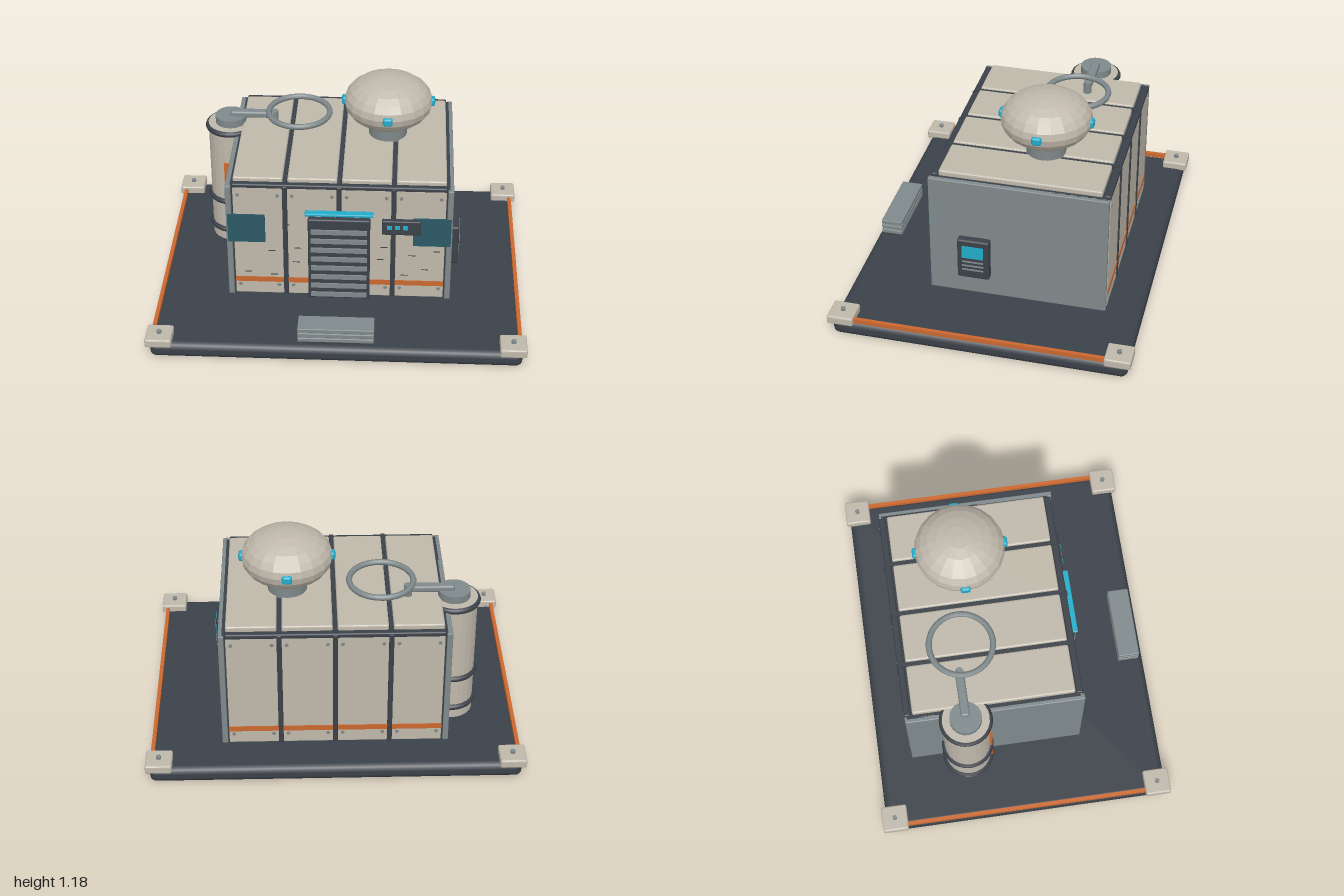
import * as THREE from 'three';
import { RoundedBoxGeometry } from 'three/addons/geometries/RoundedBoxGeometry.js';

export function createModel() {
  const root = new THREE.Group();
  root.name = 'fieldShelter';

  const material = (name, color, flat = false) => {
    const m = new THREE.MeshStandardMaterial({ color, flatShading: flat });
    m.name = name;
    return m;
  };
  const beige = material('beige panel', 0xbfb8ab, true);
  const dark = material('dark frame', 0x3b4149);
  const steel = material('grey steel', 0x7f898b);
  const orange = material('orange trim', 0xcc682f);
  const teal = material('bright teal', 0x22adca);
  const glass = material('dark teal glass', 0x2b5966);

  const add = (name, geometry, mat, x, y, z, parent = root) => {
    const mesh = new THREE.Mesh(geometry, mat);
    mesh.name = name;
    mesh.position.set(x, y, z);
    parent.add(mesh);
    return mesh;
  };
  // Box given by its limits; r > 0 rounds the edges
  const box = (name, mat, x0, x1, y0, y1, z0, z1, r = 0) => {
    const s = [x1 - x0, y1 - y0, z1 - z0];
    const g = r ? new RoundedBoxGeometry(...s, 2, r) : new THREE.BoxGeometry(...s);
    return add(name, g, mat, (x0 + x1) / 2, (y0 + y1) / 2, (z0 + z1) / 2);
  };
  const cylinder = (name, mat, r, y0, y1, x, z, sides = 24) =>
    add(name, new THREE.CylinderGeometry(r, r, y1 - y0, sides), mat, x, (y0 + y1) / 2, z);
  const ring = (name, mat, r, tube, x, y, z) => {
    const m = add(name, new THREE.TorusGeometry(r, tube, 8, 36), mat, x, y, z);
    m.rotation.x = Math.PI / 2;
    return m;
  };

  // Platform with side rails and corner pads
  box('platform', dark, -0.98, 0.98, 0, 0.09, -0.785, 0.785, 0.035);
  for (const sx of [-1, 1]) {
    box('sideRail', orange, sx * 0.967 - 0.01, sx * 0.967 + 0.01, 0.09, 0.115, -0.67, 0.67);
    for (const sz of [-1, 1]) {
      box('cornerPad', beige, sx * 0.93 - 0.07, sx * 0.93 + 0.07, 0.08, 0.13,
        sz * 0.735 - 0.07, sz * 0.735 + 0.07, 0.01);
      cylinder('padBolt', steel, 0.013, 0.125, 0.145, sx * 0.93, sz * 0.735, 10);
    }
  }

  // Entry steps
  for (let i = 0; i < 3; i++) {
    const y = 0.112 + i * 0.03;
    box('entryStep', steel, -0.2, 0.2, y, y + 0.024, 0.64, 0.757, 0.004);
  }
  box('stepCore', dark, -0.18, 0.18, 0.085, 0.18, 0.655, 0.74);

  // Shelter core and steel end walls
  box('plinth', dark, -0.55, 0.55, 0.085, 0.12, -0.55, 0.3);
  box('shelterCore', dark, -0.58, 0.58, 0.11, 0.805, -0.585, 0.33);
  for (const sx of [-1, 1])
    box('endWall', steel, sx * 0.585 - 0.015, sx * 0.585 + 0.015, 0.112, 0.805, -0.597, 0.352, 0.005);
  for (const z of [-0.582, 0.326])
    box('eaveBar', dark, -0.565, 0.565, 0.79, 0.818, z - 0.018, z + 0.018, 0.008);

  // Four bays of wall and roof panels, with seams between them
  for (let i = 0; i < 4; i++) {
    const x = -0.43 + i * 0.287;
    box('roofPanel', beige, x - 0.131, x + 0.131, 0.8, 0.836, -0.555, 0.305, 0.01);
    for (const [z, s] of [[0.334, 1], [-0.588, -1]]) {
      box('wallPanel', beige, x - 0.131, x + 0.131, 0.117, 0.8, z - 0.01, z + 0.01, 0.005);
      box('wallStripe', orange, x - 0.131, x + 0.131, 0.194, 0.225,
        z + s * 0.0115 - 0.002, z + s * 0.0115 + 0.002);
      for (const dx of [-0.105, 0.105])
        for (const y of [0.175, 0.752]) {
          const bolt = cylinder('panelBolt', steel, 0.01, y - 0.004, y + 0.004, x + dx, z + s * 0.01, 8);
          bolt.rotation.x = Math.PI / 2;
        }
    }
    if (i < 3) {
      const sx = x + 0.1435;
      box('roofSeam', dark, sx - 0.011, sx + 0.011, 0.8, 0.826, -0.59, 0.335);
      for (const z of [-0.592, 0.338])
        box('wallSeam', dark, sx - 0.013, sx + 0.013, 0.115, 0.81, z - 0.012, z + 0.012, 0.005);
    }
  }

  // Door with horizontal slats and a light bar
  box('door', dark, -0.165, 0.165, 0.115, 0.625, 0.335, 0.375, 0.008);
  for (let i = 0; i < 8; i++) {
    const y = 0.55 - i * 0.058;
    box('doorSlat', steel, -0.15, 0.15, y - 0.014, y + 0.014, 0.37, 0.383);
  }
  box('doorLight', teal, -0.18, 0.18, 0.652, 0.668, 0.345, 0.386, 0.005);

  // Corner windows
  for (const sx of [-1, 1])
    box('cornerWindow', glass, sx * 0.493 - 0.1, sx * 0.493 + 0.1, 0.46, 0.633, 0.347, 0.355);

  // Indicator panel beside the door
  box('indicatorPanel', dark, 0.227, 0.433, 0.537, 0.624, 0.34, 0.371, 0.006);
  for (const x of [0.267, 0.309, 0.351])
    box('indicatorLight', teal, x - 0.013, x + 0.013, 0.575, 0.598, 0.368, 0.376);

  // Scuff marks on the front
  for (const [x, y] of [[-0.49, 0.26], [-0.36, 0.4], [-0.35, 0.245], [-0.28, 0.57], [-0.23, 0.33],
    [-0.22, 0.42], [0.22, 0.36], [0.24, 0.44], [0.35, 0.26], [0.39, 0.39], [0.46, 0.3], [0.52, 0.42]])
    box('scuffMark', dark, x - 0.018, x + 0.018, y - 0.002, y + 0.002, 0.343, 0.347);

  // Control box on the left wall
  box('controlBox', dark, 0.595, 0.643, 0.235, 0.473, 0.02, 0.192, 0.01);
  box('controlScreen', teal, 0.641, 0.648, 0.365, 0.438, 0.05, 0.165);
  for (const y of [0.29, 0.315, 0.34])
    box('controlSlot', steel, 0.641, 0.647, y - 0.004, y + 0.004, 0.05, 0.165);

  // Storage tank
  const tx = -0.63, tz = -0.283;
  cylinder('tank', beige, 0.125, 0.11, 0.83, tx, tz);
  for (const y of [0.18, 0.37, 0.812]) ring('tankBand', dark, 0.125, 0.016, tx, y, tz);
  box('tankStripe', orange, tx - 0.034, tx + 0.034, 0.112, 0.628, -0.17, -0.15);
  cylinder('tankCap', steel, 0.085, 0.825, 0.872, tx, tz);

  // Swing arm with hoop antenna
  box('swingArm', steel, tx, -0.385, 0.862, 0.9, tz - 0.024, tz + 0.024, 0.012);
  cylinder('armPost', steel, 0.022, 0.825, 0.9, -0.387, tz, 16);
  ring('hoopAntenna', steel, 0.168, 0.016, -0.247, 0.915, -0.255);

  // Sensor dome on its neck, ringed by four lamps
  const dx = 0.243, dy = 1.036, dz = -0.193;
  cylinder('domeNeck', steel, 0.104, 0.83, 0.935, dx, dz);
  const domeShape = new THREE.SphereGeometry(1, 20, 12);
  domeShape.scale(0.24, 0.142, 0.24);
  add('sensorDome', domeShape, beige, dx, dy, dz);
  for (let i = 0; i < 4; i++) {
    const a = i * Math.PI / 2;
    const lamp = add('domeLamp', new RoundedBoxGeometry(0.052, 0.045, 0.03, 2, 0.012), teal,
      dx + Math.sin(a) * 0.237, dy, dz + Math.cos(a) * 0.237);
    lamp.rotation.y = a;
  }

  return root;
}
